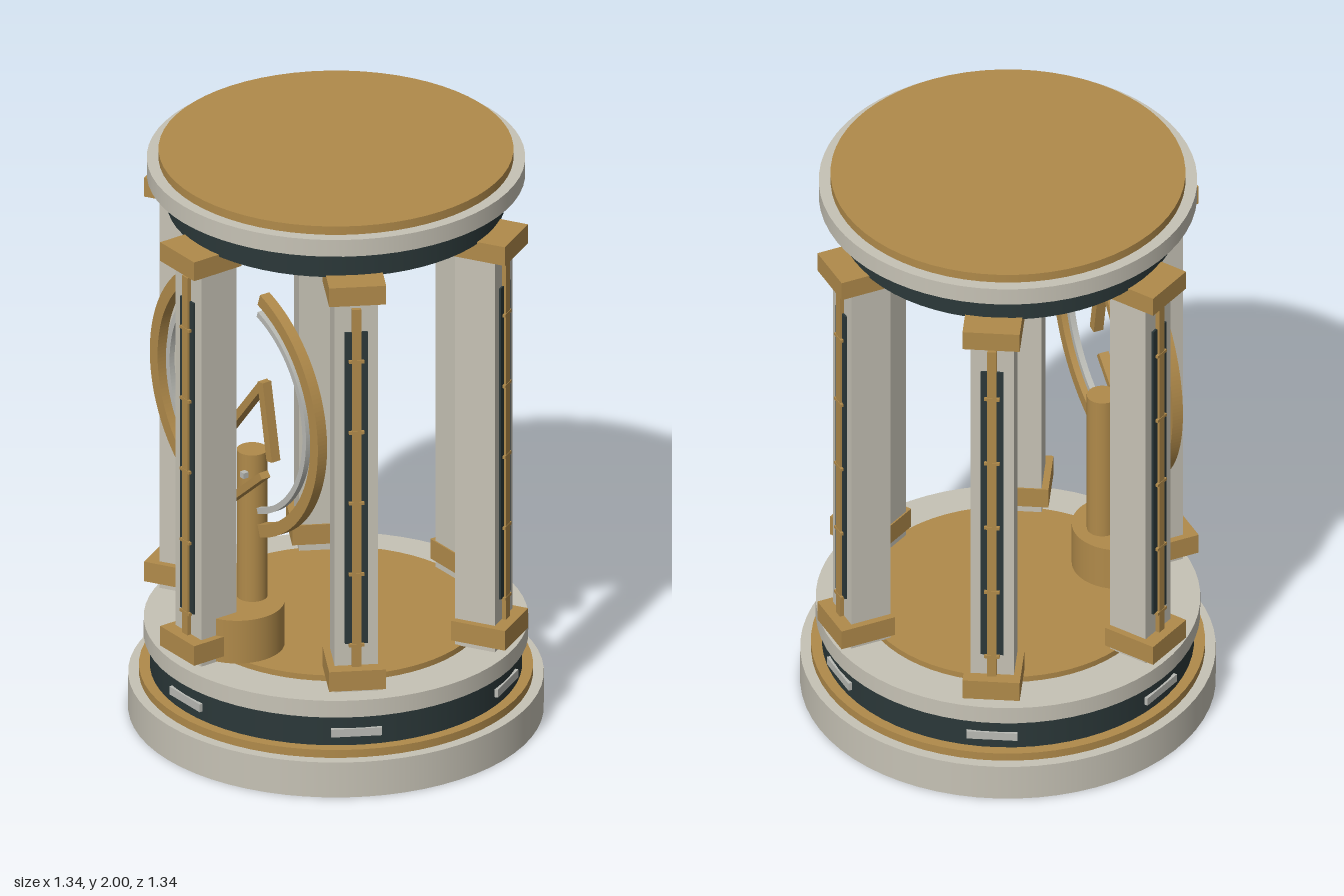
import * as THREE from 'three';

const mat = (name, color) => {
  const m = new THREE.MeshStandardMaterial({ color });
  m.name = name;
  return m;
};

export function createModel() {
  const stone = mat('pale stone', 0xc6c2b5);
  const bronze = mat('bronze', 0xb08a4a);
  const dark = mat('dark slate', 0x2b3839);
  const silver = mat('silver', 0xb9bab4);

  const root = new THREE.Group();
  root.name = 'roundPavilion';

  const add = (parent, name, geometry, material, x = 0, y = 0, z = 0) => {
    const mesh = new THREE.Mesh(geometry, material);
    mesh.name = name;
    mesh.position.set(x, y, z);
    parent.add(mesh);
    return mesh;
  };
  // Upright cylinder between two heights
  const disc = (name, r, y0, y1, material, z = 0, sides = 64) =>
    add(root, name, new THREE.CylinderGeometry(r, r, y1 - y0, sides), material, 0, (y0 + y1) / 2, z);
  // Box given by its size and centre
  const box = (parent, name, [w, h, d], [x, y, z], material) =>
    add(parent, name, new THREE.BoxGeometry(w, h, d), material, x, y, z);

  // Stepped base
  disc('baseStep', 0.67, 0, 0.125, stone);
  disc('baseTrim', 0.635, 0.125, 0.153, bronze);
  disc('baseDrum', 0.6, 0.153, 0.262, dark);
  disc('floorSlab', 0.62, 0.262, 0.322, stone);
  disc('floorInlay', 0.475, 0.322, 0.342, bronze);

  // Roof
  disc('roofDrum', 0.545, 1.805, 1.91, dark);
  disc('roofSlab', 0.61, 1.91, 1.97, stone);
  disc('roofPlate', 0.572, 1.97, 2.0, bronze);

  // Six columns, each with its fittings and a plate on the base drum
  for (let i = 0; i < 6; i++) {
    const bay = new THREE.Group();
    bay.name = 'columnBay' + (i + 1);
    bay.rotation.y = (i * Math.PI) / 3;
    root.add(bay);
    box(bay, 'columnShaft', [0.14, 1.47, 0.14], [0, 1.075, 0.52], stone);
    box(bay, 'columnFoot', [0.185, 0.07, 0.19], [0, 0.4, 0.54], bronze);
    box(bay, 'columnCapital', [0.185, 0.067, 0.19], [0, 1.778, 0.54], bronze);
    box(bay, 'columnPanel', [0.074, 1.115, 0.008], [0, 1.073, 0.593], dark);
    box(bay, 'columnRod', [0.03, 1.285, 0.014], [0, 1.073, 0.598], bronze);
    for (let k = 0; k < 5; k++) {
      box(bay, 'rodBand', [0.05, 0.01, 0.013], [0, 0.512 + k * 0.254, 0.6], bronze);
    }
    box(bay, 'drumPlate', [0.165, 0.028, 0.018], [0, 0.2, 0.597], silver);
  }

  // Pedestal and post
  disc('pedestal', 0.153, 0.342, 0.495, bronze, 0.395, 40);
  disc('post', 0.05, 0.495, 1.02, bronze, 0.335, 24);

  // Flat arc, open at top and bottom, extruded along z
  const arc = (outer, inner, depth) => {
    const a = 1.255;
    const shape = new THREE.Shape();
    shape.absarc(0, 0, outer, -a, a, false);
    shape.absarc(0, 0, inner, a, -a, true);
    shape.closePath();
    const g = new THREE.ExtrudeGeometry(shape, { depth, bevelEnabled: false, curveSegments: 40 });
    return g.translate(0, 0, -depth / 2);
  };
  // Straight bar between two points of the ornament
  const bar = (name, [x0, y0], [x1, y1], width) => {
    const length = Math.hypot(x1 - x0, y1 - y0);
    const m = box(root, name, [length, width, 0.034], [(x0 + x1) / 2, (y0 + y1) / 2, 0.428], bronze);
    m.rotation.z = Math.atan2(y1 - y0, x1 - x0);
  };

  // Ornament: mirrored arcs, bars and studs
  for (const s of [1, -1]) {
    const turn = s > 0 ? 0 : Math.PI;
    add(root, 'outerArc', arc(0.457, 0.415, 0.037), bronze, 0, 1.214, 0.39).rotation.y = turn;
    add(root, 'innerArc', arc(0.381, 0.361, 0.02), silver, 0, 1.214, 0.39).rotation.y = turn;
    bar('outerBar', [s * 0.192, 1.365], [s * 0.242, 1.1], 0.03);
    bar('innerBar', [s * 0.196, 1.36], [s * 0.005, 1.125], 0.026);
    bar('lowerBar', [s * 0.195, 1.03], [0, 0.862], 0.024);
    box(root, 'stud', [0.02, 0.02, 0.02], [s * 0.112, 1.005, 0.449], silver);
  }

  return root;
}
